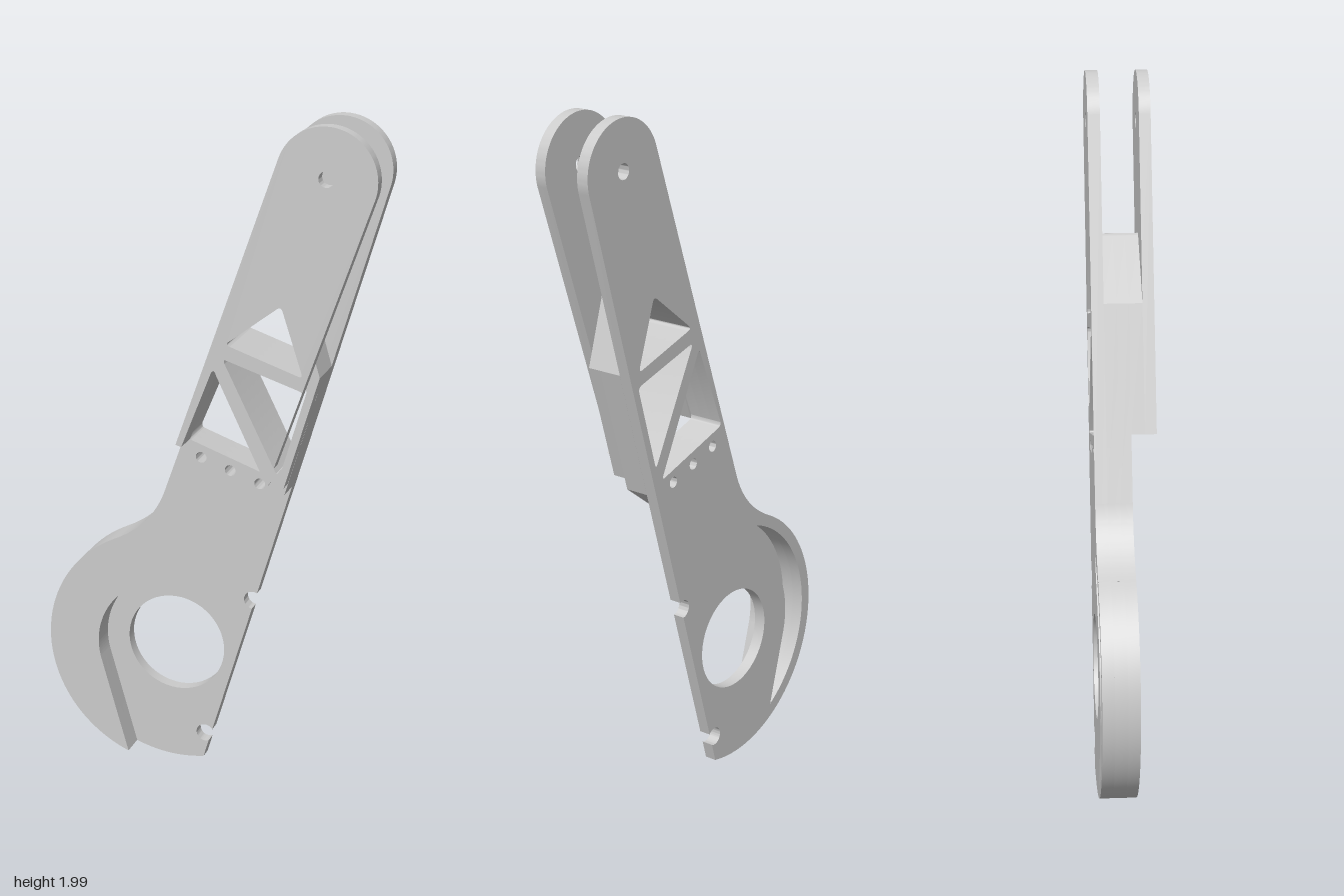
import * as THREE from 'three';
import { toCreasedNormals } from 'three/addons/utils/BufferGeometryUtils.js';

const HUB = [-0.125, 0.38];        // centre of the large bore
const TIP = [0.355, 1.86];         // centre of the pin hole
const EDGE = [-0.04, 0.015];       // foot of the straight right edge
const ANGLE = Math.atan2(1.804, 0.529); // direction of the right edge
const Z = [-0.088, -0.053, -0.017, 0.017, 0.055, 0.088]; // layer boundaries

const circle = (x, y, r) => new THREE.Path().absarc(x, y, r, 0, Math.PI * 2, false);

// Triangle with rounded corners
function triangle(pts, r = 0.016) {
  const path = new THREE.Path();
  pts.forEach((p, i) => {
    const c = new THREE.Vector2(...p);
    const toward = (q) => new THREE.Vector2(...q).sub(c).setLength(r).add(c);
    const a = toward(pts[(i + 2) % 3]), b = toward(pts[(i + 1) % 3]);
    if (i === 0) path.moveTo(a.x, a.y); else path.lineTo(a.x, a.y);
    path.quadraticCurveTo(c.x, c.y, b.x, b.y);
  });
  return path.closePath();
}

// Round bite out of the right edge
function notch(shape, x, y, r) {
  const out = ANGLE - Math.PI / 2;
  const d = (EDGE[0] - x) * Math.cos(out) + (EDGE[1] - y) * Math.sin(out);
  const half = Math.acos(d / r);
  shape.absarc(x, y, r, out - half, out + half, true);
}

// Left side: straight flank, concave blend, then round the hub
function leftSide(shape, endAngle) {
  shape.lineTo(-0.133, 0.885);
  shape.quadraticCurveTo(-0.174, 0.774, -0.29, 0.717);
  shape.absarc(...HUB, 0.375, 2.026, endAngle, false);
}

function tipArc(shape) {
  shape.absarc(...TIP, 0.14, ANGLE - Math.PI / 2, 2.808, false);
}

// Rounded shoulder closing the core between the two fork plates
function coreTop(shape) {
  shape.lineTo(0.337, 1.3);
  shape.lineTo(0.267, 1.535);
  shape.quadraticCurveTo(0.258, 1.568, 0.238, 1.552);
  shape.lineTo(0.05, 1.41);
}

const upperTriangles = () => [
  triangle([[0.235, 1.502], [0.3, 1.305], [0.075, 1.376]]),
  triangle([[0.068, 1.334], [0.303, 1.264], [0.23, 1.012]]),
];
const lowerTriangle = () => triangle([[0.042, 1.31], [0.205, 0.972], [-0.06, 1.06]]);
const smallHoles = () => [[-0.02, 1.008], [0.067, 0.98], [0.155, 0.952]].map(([x, y]) => circle(x, y, 0.016));

// Crescent pocket opening to the back
function pocket() {
  const R = 0.34, r = 0.255, a = 2.228, b = 3.415, t = Math.acos(r / R);
  const path = new THREE.Path();
  path.absarc(...HUB, R, a - t, b + t, false);
  path.absarc(...HUB, r, b, a, true);
  return path.closePath();
}

// Full-length plate
function backPlateShape() {
  const s = new THREE.Shape();
  s.moveTo(...EDGE);
  notch(s, -0.035, 0.095, 0.027);
  notch(s, 0.113, 0.555, 0.027);
  tipArc(s);
  leftSide(s, 4.942);
  s.holes.push(circle(...HUB, 0.15), circle(...TIP, 0.022), pocket(),
    lowerTriangle(), ...upperTriangles(), ...smallHoles());
  return s;
}

// Thick rim around the hub, continuing up into the core
function rimShape(withPocket) {
  const s = new THREE.Shape();
  s.moveTo(0.228, 0.928);
  coreTop(s);
  leftSide(s, 4.359);
  s.absarc(...HUB, 0.22, 3.415, 2.228, true);
  s.closePath();
  s.holes.push(lowerTriangle(), ...upperTriangles(), ...smallHoles());
  if (withPocket) s.holes.push(pocket());
  return s;
}

// Slanted lower end of the front layers, with the lower window open at its base
function slantedEnd(s) {
  s.lineTo(-0.07, 1.065);
  s.lineTo(-0.053, 1.06);
  s.lineTo(0.031, 1.278);
  s.quadraticCurveTo(0.042, 1.31, 0.05, 1.284);
  s.lineTo(0.2, 0.976);
  s.closePath();
}

function frontCoreShape() {
  const s = new THREE.Shape();
  s.moveTo(0.238, 0.964);
  coreTop(s);
  slantedEnd(s);
  s.holes.push(...upperTriangles());
  return s;
}

function frontPlateShape() {
  const s = new THREE.Shape();
  s.moveTo(0.238, 0.964);
  tipArc(s);
  slantedEnd(s);
  s.holes.push(circle(...TIP, 0.022), ...upperTriangles());
  return s;
}

export function createModel() {
  const group = new THREE.Group();
  group.name = 'forkedArm';
  const material = new THREE.MeshStandardMaterial({ color: 0xcccccc });

  // Layers stacked from back to front
  const layers = [
    ['backPlate', backPlateShape()],
    ['pocketedRim', rimShape(true)],
    ['rimFace', rimShape(false)],
    ['frontCore', frontCoreShape()],
    ['frontPlate', frontPlateShape()],
  ];
  layers.forEach(([name, shape], i) => {
    const geometry = new THREE.ExtrudeGeometry(shape, {
      depth: Z[i + 1] - Z[i], bevelEnabled: false, curveSegments: 28,
    });
    geometry.translate(0, 0, Z[i]);
    const mesh = new THREE.Mesh(toCreasedNormals(geometry, 0.5), material);
    mesh.name = name;
    group.add(mesh);
  });
  return group;
}
